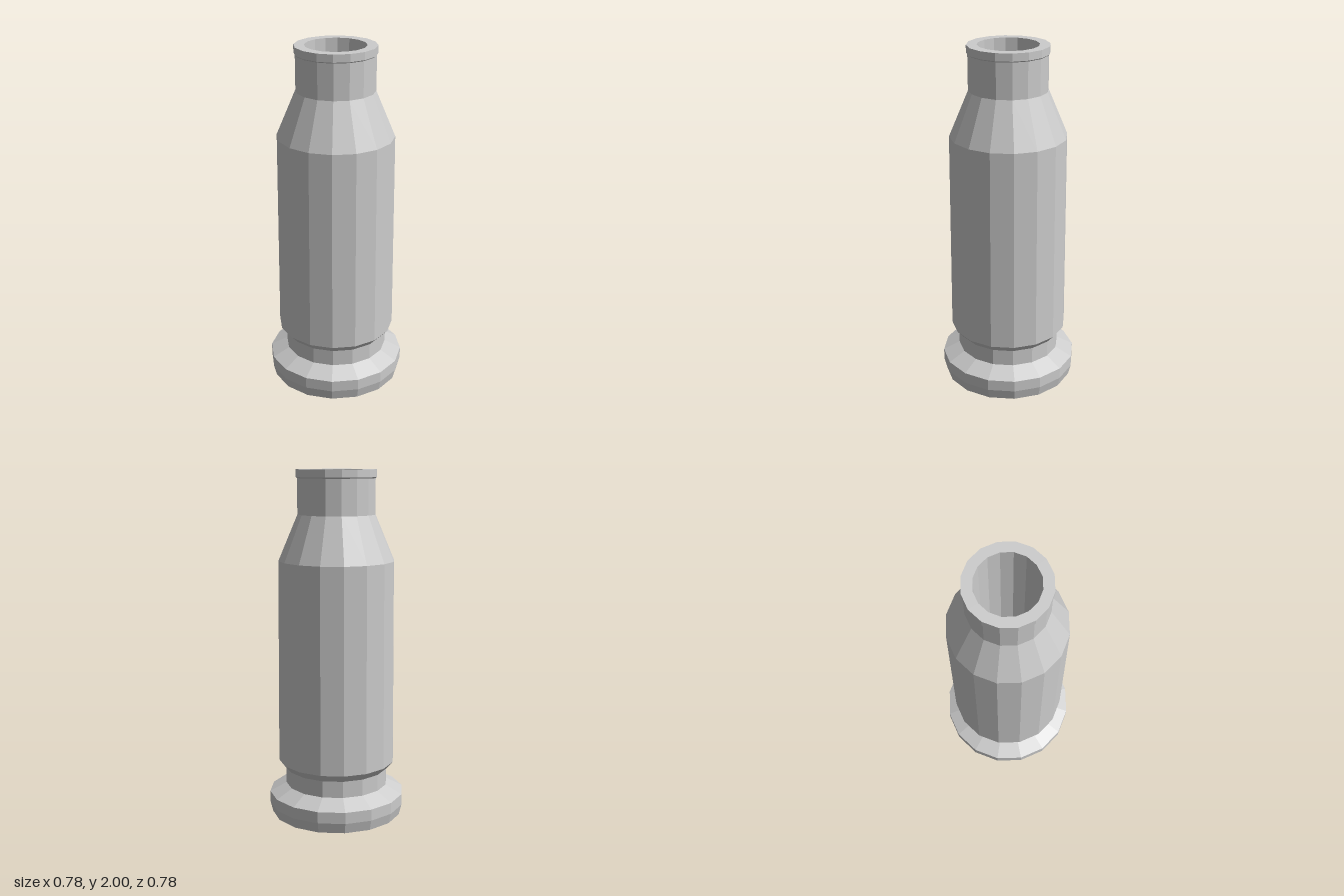
import * as THREE from 'three';

const SIDES = 16;

export function createModel() {
  const model = new THREE.Group();
  model.name = 'cartridgeCase';

  const metal = new THREE.MeshStandardMaterial({ color: 0xcccccc, flatShading: true });
  metal.name = 'plain metal';

  // Revolve a [radius, height] profile, listed upwards on outer walls
  const turned = (name, profile) => {
    const points = profile.map(([r, y]) => new THREE.Vector2(r, y));
    const mesh = new THREE.Mesh(new THREE.LatheGeometry(points, SIDES), metal);
    mesh.name = name;
    model.add(mesh);
  };

  // Base flange with its flat underside and sloped shoulder
  turned('rim', [[0, 0.03], [0.375, 0.03], [0.39, 0.09], [0.39, 0.155], [0.295, 0.205]]);

  // Narrow groove above the flange
  turned('extractorGroove', [[0.295, 0.205], [0.295, 0.3]]);

  // Slightly tapered body and bottle shoulder
  turned('body', [[0.295, 0.3], [0.335, 0.345], [0.326, 1.5], [0.218, 1.755]]);

  // Neck with a small lip, open mouth and straight bore
  turned('neck', [
    [0.218, 1.755], [0.218, 1.952], [0.225, 1.958], [0.225, 2],
    [0.168, 2], [0.168, 0.4], [0, 0.4],
  ]);

  // Primer ring and domed cup under the base
  turned('primerRing', [[0.153, 0.03], [0.156, 0.02], [0.167, 0.022], [0.167, 0.03]]);
  turned('primerCup', [[0, 0], [0.105, 0], [0.125, 0.014], [0.125, 0.03]]);

  // Eight radial marks around the underside
  const markShape = new THREE.BoxGeometry(0.018, 0.006, 0.058);
  for (let i = 0; i < 8; i++) {
    const angle = (i * Math.PI) / 4;
    const mark = new THREE.Mesh(markShape, metal);
    mark.name = `baseMark${i + 1}`;
    mark.position.set(Math.sin(angle) * 0.273, 0.029, Math.cos(angle) * 0.273);
    mark.rotation.y = angle;
    model.add(mark);
  }

  return model;
}
